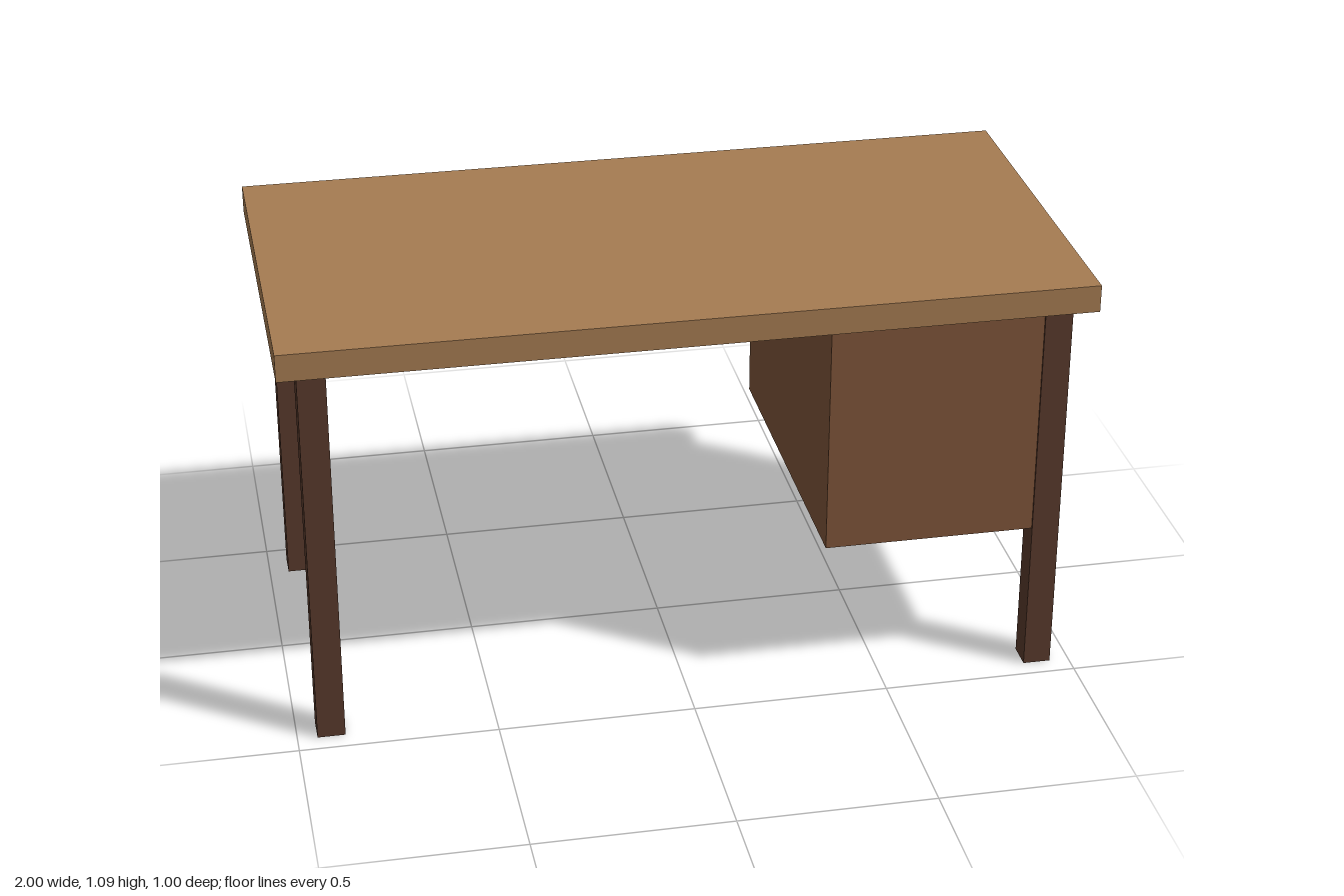
import * as THREE from 'three';

const material = (name, color) => {
  const m = new THREE.MeshStandardMaterial({ color });
  m.name = name;
  return m;
};

// Box given by its lowest and highest corners
function box(name, mat, [x0, y0, z0], [x1, y1, z1]) {
  const mesh = new THREE.Mesh(new THREE.BoxGeometry(x1 - x0, y1 - y0, z1 - z0), mat);
  mesh.name = name;
  mesh.position.set((x0 + x1) / 2, (y0 + y1) / 2, (z0 + z1) / 2);
  return mesh;
}

export function createModel() {
  const lightWood = material('lightWood', 0xa67c52);
  const midWood = material('midWood', 0x7f5539);
  const darkWood = material('darkWood', 0x583a2c);

  const desk = new THREE.Group();
  desk.name = 'desk';
  const top = 1.093, under = 1.023;

  // Desktop slab
  desk.add(box('desktop', lightWood, [-1, under, -0.5], [1, top, 0.5]));

  // Drawer cabinet, set just inside the outer faces of the left legs
  desk.add(box('drawerCabinet', midWood, [0.344, 0.4, -0.445], [0.945, under, 0.445]));

  // Four square legs
  const half = 0.035;
  for (const [side, x] of [['Left', 0.915], ['Right', -0.915]]) {
    for (const [end, z] of [['front', 0.415], ['back', -0.415]]) {
      desk.add(box(`${end}${side}Leg`, darkWood, [x - half, 0, z - half], [x + half, under, z + half]));
    }
  }
  return desk;
}
